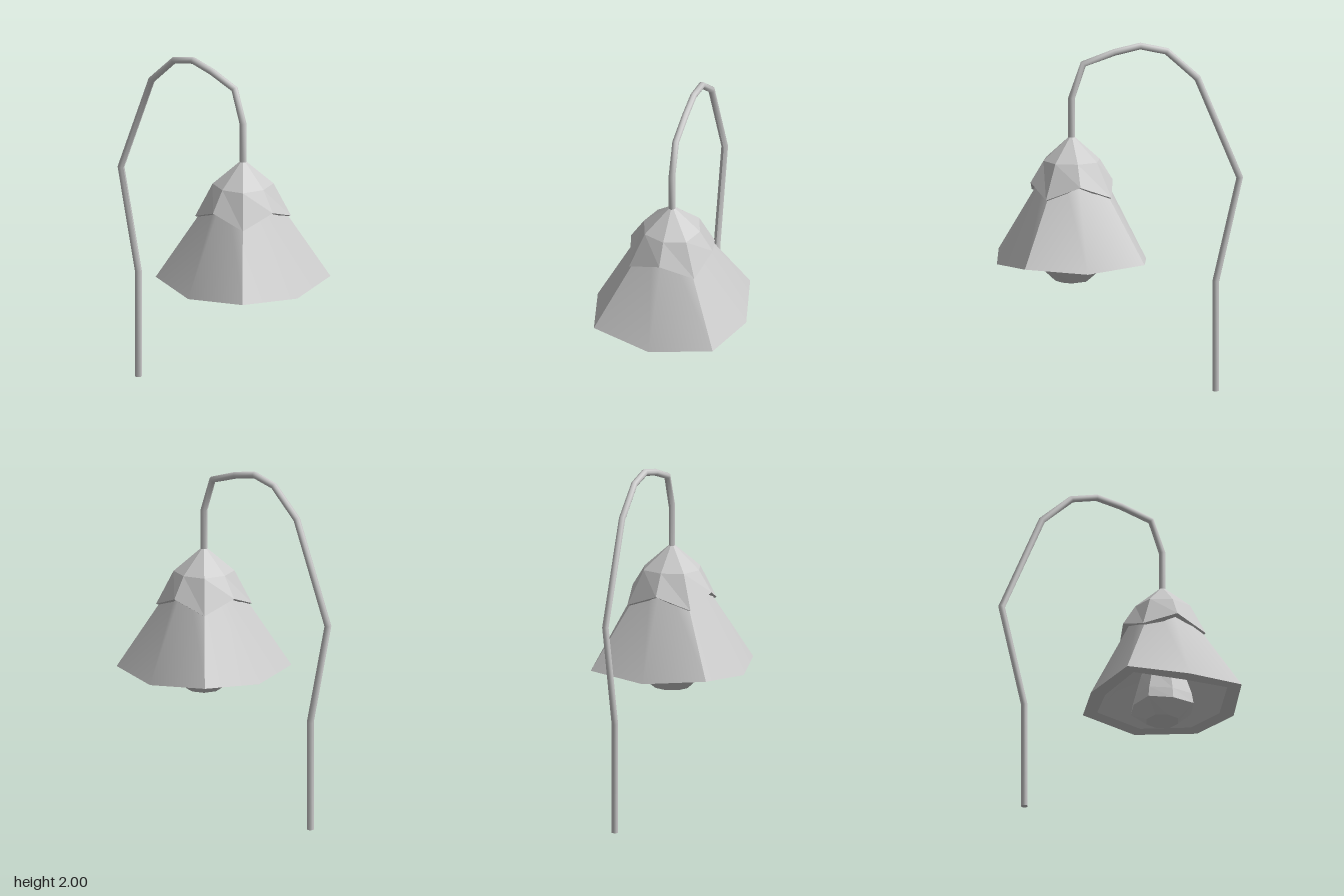
import * as THREE from 'three';

const CENTRE_Z = 0.277;

// Skin between successive rings of points (rings run top to bottom, counter-clockwise from above)
function loft(rings) {
  const n = rings[0].length, index = [];
  for (let r = 0; r < rings.length - 1; r++) {
    for (let i = 0; i < n - 1; i++) {
      const a = r * n + i, b = a + n;
      index.push(a, b, b + 1, a, b + 1, a + 1);
    }
  }
  const geometry = new THREE.BufferGeometry().setFromPoints(rings.flat());
  geometry.setIndex(index);
  geometry.computeVertexNormals();
  return geometry;
}

// Points at 45 degree steps: petal middles on the axes, petal seams on the diagonals
function petalRing([axisR, axisY, seam, seamY], from = 0, to = 8) {
  const points = [];
  for (let k = from; k <= to; k++) {
    const a = k * Math.PI / 4, onSeam = Math.abs(k % 2) === 1;
    const r = onSeam ? seam * Math.SQRT2 : axisR;
    // the flower is very slightly shallower than wide
    points.push(new THREE.Vector3(Math.sin(a) * r, onSeam ? seamY : axisY, Math.cos(a) * r * 0.98));
  }
  return points;
}

export function createModel() {
  const model = new THREE.Group();
  const smooth = new THREE.MeshStandardMaterial({ color: 0xcccccc, side: THREE.DoubleSide });
  const flat = new THREE.MeshStandardMaterial({ color: 0xcccccc, side: THREE.DoubleSide, flatShading: true });
  const add = (parent, name, geometry, material) => {
    const mesh = new THREE.Mesh(geometry, material);
    mesh.name = name;
    parent.add(mesh);
  };

  // Flower head hanging from the stem
  const head = new THREE.Group();
  head.name = 'flowerHead';
  head.position.z = CENTRE_Z;
  model.add(head);

  // Four petals: smooth outside, flat rim and a shallower inner face, creased along the seams
  const top = [0.137, 1.35, 0.088, 1.35];
  const lip = [0.437, 0.768, 0.35, 0.795];
  const innerLip = [0.35, 0.768, 0.287, 0.795];
  const innerTop = [0.07, 1.12, 0.05, 1.12];
  const innerTip = [0, 1.13, 0, 1.13];
  for (let p = 0; p < 4; p++) {
    const ring = (r) => petalRing(r, p * 2 - 1, p * 2 + 1);
    add(head, 'petalOuter', loft([ring(top), ring(lip)]), smooth);
    add(head, 'petalRim', loft([ring(lip), ring(innerLip)]), flat);
    add(head, 'petalInner', loft([ring(innerLip), ring(innerTop), ring(innerTip)]), smooth);
  }

  // Faceted cap of sepals with a turned-in lower edge
  add(head, 'sepalCap', loft([
    [0.015, 1.48, 0.011, 1.48],
    [0.165, 1.347, 0.122, 1.347],
    [0.24, 1.227, 0.192, 1.155],
    [0.19, 1.215, 0.165, 1.143],
  ].map((r) => petalRing(r))), flat);

  // Bulb inside the flower
  add(head, 'bulb', loft([
    [0, 1.06, 0, 1.06],
    [0.08, 1.03, 0.06, 1.03],
    [0.13, 0.92, 0.1, 0.92],
    [0.163, 0.8, 0.13, 0.8],
    [0.175, 0.735, 0.138, 0.738],
    [0.095, 0.662, 0.07, 0.662],
    [0, 0.642, 0, 0.642],
  ].map((r) => petalRing(r))), flat);

  // Bent stem: rings along a path of [z, y] from the flower to the ground
  const path = [[CENTRE_Z, 1.47], [CENTRE_Z, 1.7], [0.21, 1.89], [0.03, 1.95], [-0.117, 1.98],
    [-0.268, 1.945], [-0.445, 1.785], [-0.687, 1.21], [-0.55, 0.625], [-0.55, 0]];
  const unit = (a, b) => new THREE.Vector2(b[0] - a[0], b[1] - a[1]).normalize();
  const stemRing = (i, radius) => {
    const [z, y] = path[i];
    const before = path[Math.max(i - 1, 0)], after = path[Math.min(i + 1, path.length - 1)];
    const d = unit(before, path[i]).add(unit(path[i], after)).normalize();
    return Array.from({ length: 9 }, (_, k) => {
      const a = k * Math.PI / 4, c = Math.cos(a) * radius;
      return new THREE.Vector3(Math.sin(a) * radius, y + d.x * c, z - d.y * c);
    });
  };
  const last = path.length - 1;
  add(model, 'stem', loft(path.map((_, i) => stemRing(i, 0.0195))), smooth);
  add(model, 'stemFoot', loft([stemRing(last, 0.0195), stemRing(last, 0)]), flat);

  return model;
}
